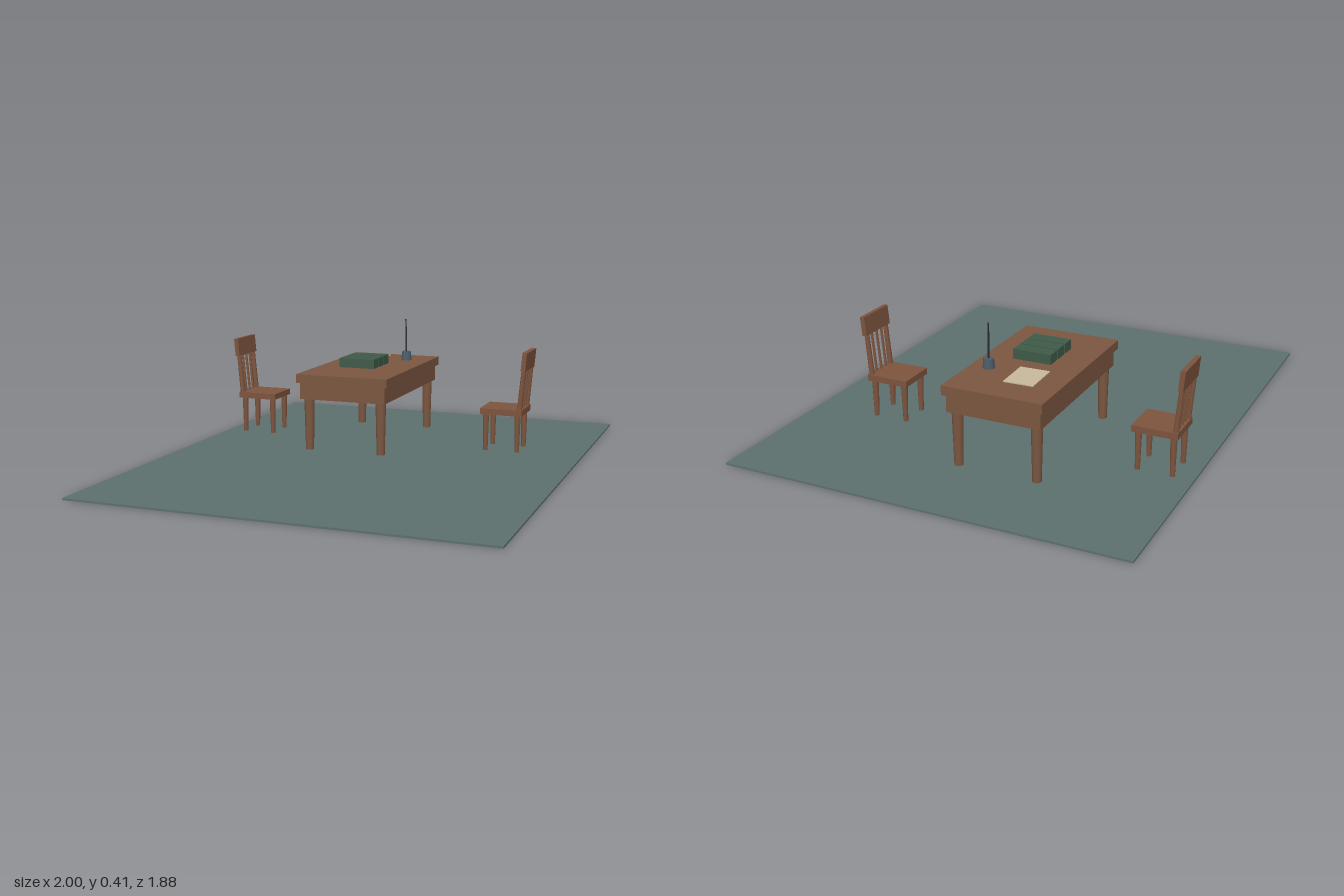
import * as THREE from 'three';

export function createModel() {
  const mat = (name, color) => {
    const m = new THREE.MeshStandardMaterial({ color });
    m.name = name;
    return m;
  };
  const floorMat = mat('slate floor', 0x5c706e);
  const tableMat = mat('table wood', 0x7b5640);
  const chairMat = mat('chair wood', 0x7d543e);
  const bookMat = mat('green cloth', 0x3f5a48);
  const paperMat = mat('parchment', 0xc6b89c);
  const inkMat = mat('ink glass', 0x4b5c6b);
  const quillMat = mat('dark quill', 0x2b2a2c);

  const add = (parent, name, geo, material, x, y, z) => {
    const m = new THREE.Mesh(geo, material);
    m.name = name;
    m.position.set(x, y, z);
    parent.add(m);
    return m;
  };
  const box = (parent, name, material, w, h, d, x, y, z) =>
    add(parent, name, new THREE.BoxGeometry(w, h, d), material, x, y, z);
  const rod = (parent, name, material, rTop, rBottom, h, x, y, z) =>
    add(parent, name, new THREE.CylinderGeometry(rTop, rBottom, h, 12), material, x, y, z);

  const model = new THREE.Group();
  model.name = 'diningScene';

  // Everything shares the turned floor's axes
  const room = new THREE.Group();
  room.name = 'room';
  room.rotation.y = Math.PI / 6;
  model.add(room);
  box(room, 'floor', floorMat, 1.58, 0.006, 1.264, 0, 0.003, 0);

  // Furniture set, centred on the table
  const set = new THREE.Group();
  set.name = 'furnitureSet';
  set.position.set(0.266, 0, -0.109);
  room.add(set);

  // Table
  const table = new THREE.Group();
  table.name = 'table';
  set.add(table);
  box(table, 'tableTop', tableMat, 0.553, 0.029, 0.315, 0, 0.2455, 0);
  for (const s of [-1, 1]) {
    box(table, 'longApron', tableMat, 0.533, 0.054, 0.014, 0, 0.204, s * 0.1405);
    box(table, 'endApron', tableMat, 0.014, 0.054, 0.267, s * 0.2595, 0.204, 0);
    for (const t of [-1, 1])
      rod(table, 'tableLeg', tableMat, 0.0185, 0.0135, 0.225, s * 0.241, 0.1185, t * 0.125);
  }

  // Chair with its back towards +z
  const makeChair = (name, z, turn) => {
    const chair = new THREE.Group();
    chair.name = name;
    chair.position.z = z;
    chair.rotation.y = turn;
    set.add(chair);
    box(chair, 'seat', chairMat, 0.128, 0.02, 0.139, 0, 0.137, 0);
    for (const s of [-1, 1])
      for (const t of [-1, 1])
        rod(chair, 'chairLeg', chairMat, 0.0105, 0.0075, 0.122, s * 0.0475, 0.067, t * 0.053);

    // Leaning backrest
    const back = new THREE.Group();
    back.name = 'backrest';
    back.position.set(0, 0.147, 0.06);
    back.rotation.x = 0.09;
    chair.add(back);
    box(back, 'topRail', chairMat, 0.134, 0.061, 0.015, 0, 0.16, 0);
    for (const s of [-1, 1])
      rod(back, 'backPost', chairMat, 0.0075, 0.0085, 0.14, s * 0.053, 0.067, 0);
    for (const s of [-1, 0, 1])
      rod(back, 'spindle', chairMat, 0.004, 0.004, 0.14, s * 0.0265, 0.067, 0);
  };
  makeChair('frontChair', 0.476, 0);
  makeChair('rearChair', -0.405, Math.PI);

  // Three bound books side by side
  const base = 0.267;
  for (const i of [-1, 0, 1])
    box(set, 'book', bookMat, 0.045, 0.031, 0.122, -0.0535 + i * 0.0505, base + 0.0155, -0.003);

  // Sheet of paper
  box(set, 'paper', paperMat, 0.12, 0.003, 0.093, 0.132, base + 0.0015, -0.041).rotation.y = 0.03;

  // Inkwell and quill
  rod(set, 'inkwell', inkMat, 0.0155, 0.018, 0.03, 0.114, base + 0.015, 0.09);
  const quill = rod(set, 'quill', quillMat, 0.0025, 0.0025, 0.125, 0.119, 0.346, 0.087);
  quill.rotation.set(-0.05, 0, -0.08);

  return model;
}
